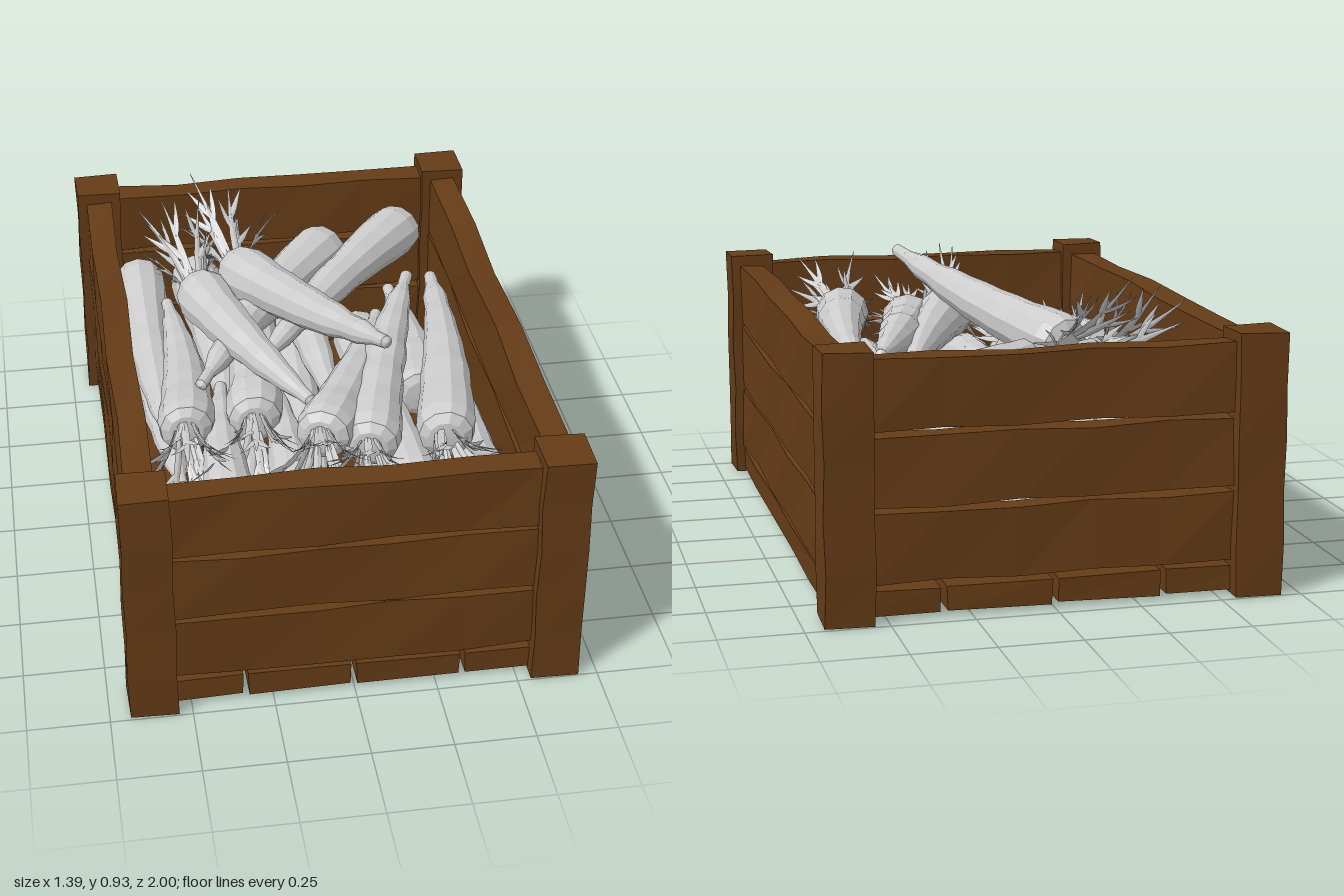
import * as THREE from 'three';

const wood = new THREE.MeshStandardMaterial({ color: 0x653c17, flatShading: true });
const grey = new THREE.MeshStandardMaterial({ color: 0xcccccc, flatShading: true });
const leafGrey = new THREE.MeshStandardMaterial({ color: 0xcccccc, flatShading: true, side: THREE.DoubleSide });

// Small seeded generator
let seed = 7;
const rnd = () => {
  seed = (seed * 16807) % 2147483647;
  return seed / 2147483647;
};
const vary = (a) => (rnd() * 2 - 1) * a;
const UP = new THREE.Vector3(0, 1, 0);

// Hand-cut board between two corners, with slightly wavy edges along its long side
function board(name, x0, x1, y0, y1, z0, z1, wobble) {
  const size = [x1 - x0, y1 - y0, z1 - z0];
  const long = Math.max(...size);
  const geo = new THREE.BoxGeometry(...size, ...size.map((s) => (s === long ? 5 : 1)));
  geo.translate((x0 + x1) / 2, (y0 + y1) / 2, (z0 + z1) / 2);
  const p = geo.attributes.position;
  const k = rnd() * 10;
  for (let i = 0; i < p.count; i++) {
    const x = p.getX(i), y = p.getY(i), z = p.getZ(i);
    const f = 5 * x + 11 * y + 6 * z + k;
    p.setXYZ(i, x + wobble * Math.sin(f * 1.7), y + wobble * Math.sin(f * 2.3 + 1), z + wobble * Math.sin(f * 1.3 + 2));
  }
  geo.computeVertexNormals();
  const mesh = new THREE.Mesh(geo, wood);
  mesh.name = name;
  return mesh;
}

function buildCrate() {
  const crate = new THREE.Group();
  crate.name = 'crate';
  for (const s of [-1, 1]) {
    const span = (a, b) => (s > 0 ? [a, b] : [-b, -a]);
    for (const zs of [[-0.997, -0.848], [0.848, 0.997]]) {
      crate.add(board('cornerPost', ...span(0.543, 0.69), 0.003, 0.798, ...zs, 0.003));
    }
    for (let row = 0; row < 3; row++) {
      const y = 0.11 + row * 0.225;
      crate.add(board('endSlat', -0.555, 0.555, y, y + 0.207, ...span(0.87, 0.955), 0.005));
      crate.add(board('sideSlat', ...span(0.575, 0.66), y - 0.006, y + 0.204, -0.86, 0.86, 0.005));
    }
  }
  for (let i = 0; i < 4; i++) {
    const x = -0.66 + i * 0.334;
    crate.add(board('floorPlank', x, x + 0.317, 0.014, 0.09, -0.95, 0.95, 0.003));
  }
  return crate;
}

// Ridged root: a lathe from tip to crown that thickens by a power rule, gently bent
function rootGeometry(length, radius) {
  const pts = [new THREE.Vector2(0, 0), new THREE.Vector2(radius * 0.22, length * 0.012)];
  for (let i = 1; i <= 11; i++) {
    const t = 0.93 * (i / 11);
    const ridge = i < 11 ? 0.02 * (-1) ** i + vary(0.03) : 0;
    pts.push(new THREE.Vector2(radius * ((i / 11) ** 0.55 + ridge), length * t));
  }
  pts.push(new THREE.Vector2(radius * 0.9, length * 0.975), new THREE.Vector2(radius * 0.6, length * 0.995));
  pts.push(new THREE.Vector2(0, length));
  const geo = new THREE.LatheGeometry(pts, 11);
  const p = geo.attributes.position;
  const bx = vary(0.03), bz = vary(0.02);
  for (let i = 0; i < p.count; i++) {
    const b = Math.sin((p.getY(i) / length) * Math.PI);
    p.setX(i, p.getX(i) + bx * b);
    p.setZ(i, p.getZ(i) + bz * b);
  }
  geo.computeVertexNormals();
  return geo;
}

// Thin flattened blade that curves sideways as it rises
function bladeGeometry(length, width, bend) {
  const geo = new THREE.CylinderGeometry(0.001, width, length, 4, 5);
  geo.translate(0, length / 2, 0);
  const p = geo.attributes.position;
  for (let i = 0; i < p.count; i++) {
    const t = p.getY(i) / length;
    p.setX(i, p.getX(i) * 0.4 + bend * t * t);
    p.setZ(i, p.getZ(i) * (1 + 1.2 * Math.sin(t * Math.PI)));
  }
  geo.computeVertexNormals();
  return geo;
}

// Tuft of stems with side blades
function buildTuft(dir) {
  const tuft = new THREE.Group();
  tuft.name = 'leafTuft';
  tuft.quaternion.setFromUnitVectors(UP, dir.normalize());
  for (let i = 0; i < 11; i++) {
    const stem = new THREE.Group();
    stem.name = 'leafStem';
    const a = (i / 11) * Math.PI * 2 + vary(0.3);
    const length = 0.27 + vary(0.07), bend = 0.07 + vary(0.06);
    stem.position.set(Math.cos(a) * 0.035, -0.01, -Math.sin(a) * 0.035);
    stem.rotation.set(0, a, -0.18 + vary(0.12));
    const blade = new THREE.Mesh(bladeGeometry(length, 0.009, bend), leafGrey);
    blade.name = 'leafBlade';
    stem.add(blade);
    for (const s of [-1, 1]) {
      const t = 0.45 + vary(0.15);
      const side = new THREE.Mesh(bladeGeometry(length * 0.4, 0.007, 0.02), leafGrey);
      side.name = 'leafSideBlade';
      side.position.set(bend * t * t, length * t, 0);
      side.rotation.set(s * (0.4 + vary(0.1)), 0, -0.2);
      stem.add(side);
    }
    tuft.add(stem);
  }
  return tuft;
}

// One carrot from crown to tip; a tuft grows outward, raised by leafLift, when leafy
function buildCarrot(crown, tip, leafy = false, leafLift = 0) {
  const carrot = new THREE.Group();
  carrot.name = 'carrot';
  const c = new THREE.Vector3(...crown), t = new THREE.Vector3(...tip);
  const axis = c.clone().sub(t);
  const length = axis.length();
  axis.normalize();
  const root = new THREE.Mesh(rootGeometry(length, 0.093), grey);
  root.name = 'carrotRoot';
  root.position.copy(t);
  root.quaternion.setFromUnitVectors(UP, axis);
  carrot.add(root);
  if (leafy) {
    const tuft = buildTuft(new THREE.Vector3(axis.x * 0.3, leafLift, Math.sign(axis.z)));
    tuft.position.copy(c);
    carrot.add(tuft);
  }
  return carrot;
}

function buildPile() {
  const pile = new THREE.Group();
  pile.name = 'carrotPile';
  // Row of near-parallel carrots lying along z
  const row = (xs, y, crownZ, tipZ, tipY, leafy) => {
    for (const x of xs) {
      pile.add(buildCarrot([x, y, crownZ + vary(0.02)], [x + vary(0.03), tipY, tipZ + vary(0.05)], leafy, -0.1));
    }
  };
  // Bottom layer
  row([-0.45, -0.2, 0.05, 0.3], 0.19, -0.82, 0.1, 0.16, false);
  row([-0.32, -0.02, 0.2, 0.45], 0.19, 0.78, -0.15, 0.16, false);
  // Middle layer
  row([-0.49, -0.29, -0.11, 0.08], 0.46, -0.84, 0.12, 0.43, false);
  row([-0.31, -0.11, 0.26, 0.47], 0.42, 0.75, -0.1, 0.48, false);
  row([-0.43, -0.21], 0.53, 0.26, -0.6, 0.5, true);
  row([0.36], 0.48, 0.1, -0.6, 0.5, false);
  // Crossed carrots on top
  pile.add(
    buildCarrot([-0.32, 0.64, -0.42], [-0.04, 0.66, 0.36], true, 0.35),
    buildCarrot([-0.18, 0.68, -0.47], [0.19, 0.875, 0.39], true, 0.22),
    buildCarrot([0.47, 0.61, -0.82], [-0.16, 0.55, -0.05]),
    buildCarrot([0.17, 0.63, -0.68], [-0.37, 0.6, 0.13]),
    buildCarrot([-0.04, 0.64, 0.53], [0.27, 0.6, -0.24], true),
    buildCarrot([0.11, 0.6, 0.55], [0.4, 0.66, -0.38], true),
    buildCarrot([0.34, 0.63, 0.58], [0.48, 0.65, -0.38], true),
  );
  return pile;
}

export function createModel() {
  seed = 7;
  const model = new THREE.Group();
  model.name = 'crateOfCarrots';
  model.add(buildCrate(), buildPile());
  return model;
}
